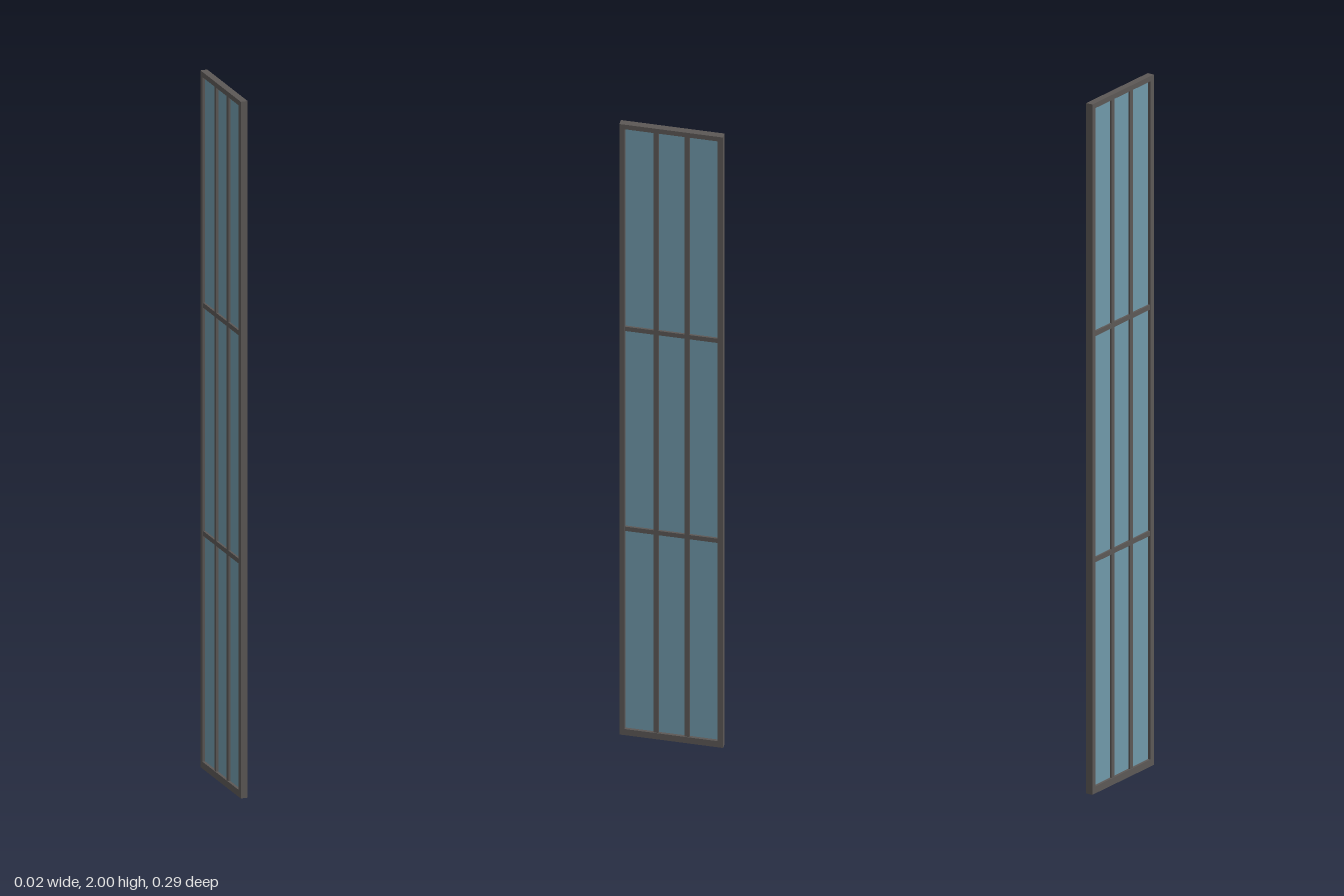
import * as THREE from 'three';

export function createModel() {
  const model = new THREE.Group();
  model.name = 'windowPanel';
  const frameMat = new THREE.MeshStandardMaterial({ color: 0x5c5856 });
  const glassMat = new THREE.MeshStandardMaterial({ color: 0x7099aa });

  const H = 2, W = 0.29, D = 0.02;              // overall height, width (z), depth (x)
  const stile = 0.015, topRail = 0.015, bottomRail = 0.02;
  const bar = 0.014, barDepth = 0.016;
  const innerW = W - 2 * stile, innerH = H - topRail - bottomRail;

  const box = (name, mat, dx, dy, dz, y, z) => {
    const mesh = new THREE.Mesh(new THREE.BoxGeometry(dx, dy, dz), mat);
    mesh.name = name;
    mesh.position.set(0, y, z);
    model.add(mesh);
  };

  // Outer frame
  for (const s of [-1, 1]) {
    box(s > 0 ? 'frontStile' : 'backStile', frameMat, D, H, stile, H / 2, s * (W - stile) / 2);
  }
  box('bottomRail', frameMat, D, bottomRail, innerW, bottomRail / 2, 0);
  box('topRail', frameMat, D, topRail, innerW, H - topRail / 2, 0);

  // Glazing bars dividing the opening into a three by three grid
  const midY = bottomRail + innerH / 2;
  for (const s of [-1, 1]) {
    box('verticalBar', frameMat, barDepth, innerH, bar, midY, s * innerW / 6);
    box('horizontalBar', frameMat, barDepth, bar, innerW, midY + s * innerH / 6, 0);
  }

  // Glass sheet
  box('glass', glassMat, 0.004, innerH, innerW, midY, 0);

  return model;
}
